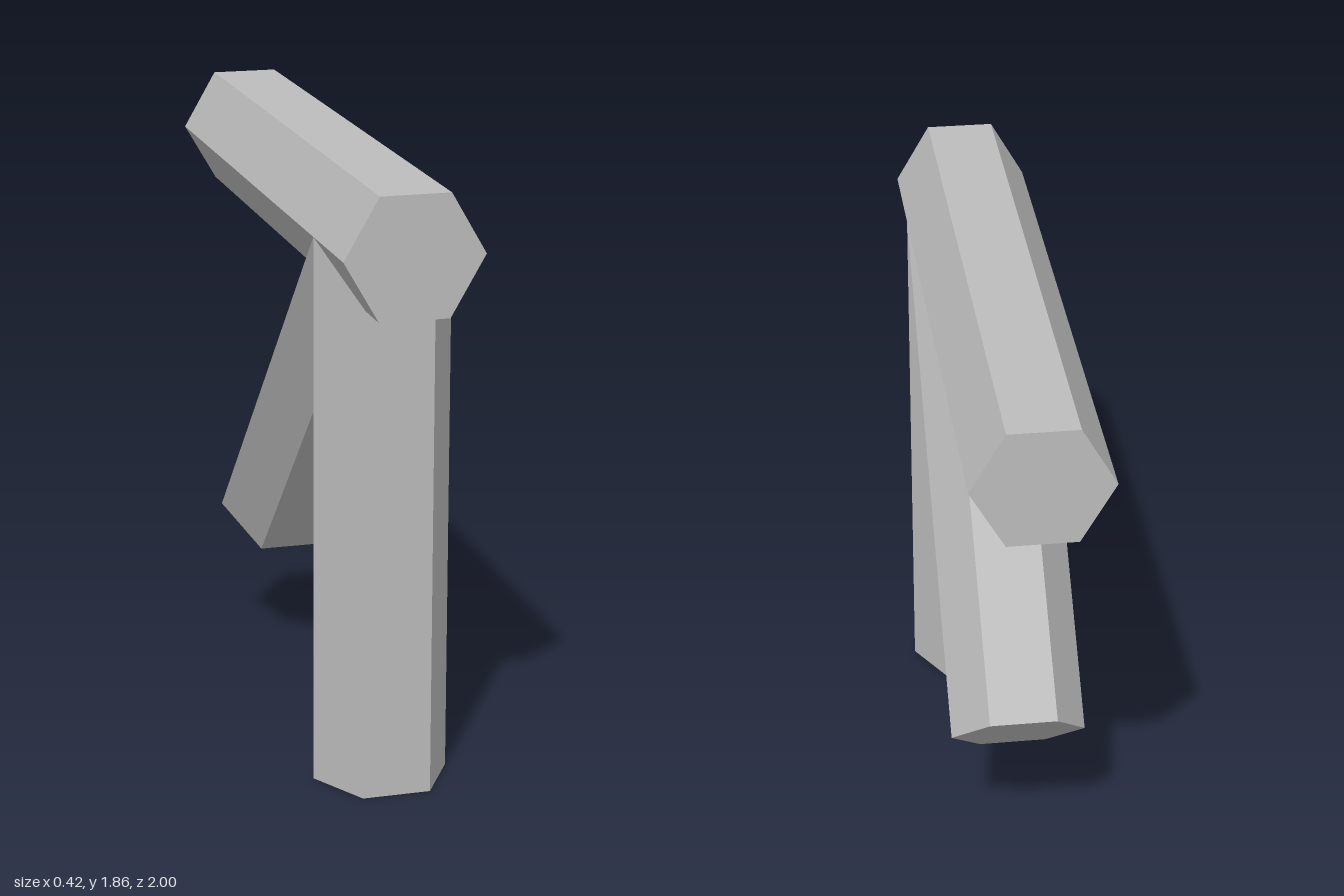
import * as THREE from 'three';

const RADIUS = 0.208; // corner radius, corners point to +x and -x
const JOINT_Y = 1.68;
const JOINT_Z = 0.68;

export function createModel() {
  const group = new THREE.Group();
  const grey = new THREE.MeshStandardMaterial({ color: 0xbcbcbc, flatShading: true });
  grey.name = 'grey';

  // Hexagonal bar centred at (y, z), tilted about the x axis
  function addBar(name, length, y, z, tilt) {
    const geometry = new THREE.CylinderGeometry(RADIUS, RADIUS, length, 6, 1, false, Math.PI / 2);
    const mesh = new THREE.Mesh(geometry, grey);
    mesh.name = name;
    mesh.position.set(0, y, z);
    mesh.rotation.x = tilt;
    group.add(mesh);
  }

  // Horizontal beam and upright post
  addBar('beam', 2, JOINT_Y, 0, Math.PI / 2);
  addBar('post', JOINT_Y, JOINT_Y / 2, JOINT_Z, 0);

  // Diagonal brace running down and back from the joint
  const braceLength = 1.68;
  const half = (braceLength / 2) * Math.SQRT1_2;
  addBar('brace', braceLength, JOINT_Y - half, JOINT_Z - half, Math.PI / 4);

  return group;
}
